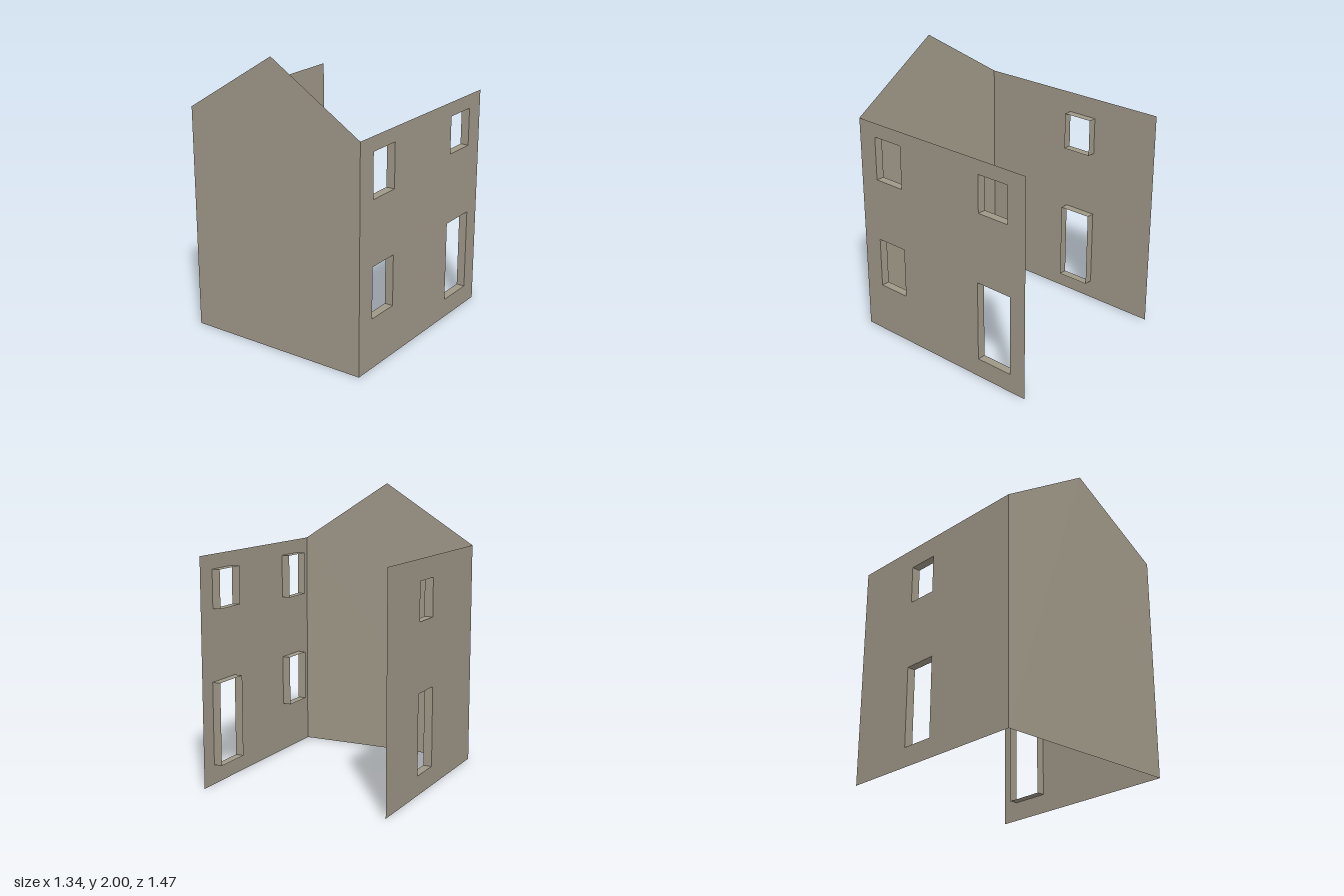
import * as THREE from 'three';

const HALF_W = 0.67, HALF_D = 0.735, EAVES = 1.575, RIDGE = 2, REVEAL = 0.06;

const plaster = new THREE.MeshStandardMaterial({ color: 0x9e9787, side: THREE.DoubleSide });
plaster.name = 'plaster';

// Openings of each side wall: [z min, z max, y min, y max]
const leftOpenings = [
  [0.35, 0.59, 1.165, 1.475],
  [-0.59, -0.345, 1.21, 1.475],
  [0.35, 0.59, 0.355, 0.715],
  [-0.61, -0.33, 0.135, 0.71],
];
const rightOpenings = [
  [-0.22, 0.0, 1.165, 1.43],
  [-0.23, 0.015, 0.135, 0.69],
];

function addMesh(parent, geometry, name) {
  const mesh = new THREE.Mesh(geometry, plaster);
  mesh.name = name;
  parent.add(mesh);
  return mesh;
}

function polygon(points) {
  return points.map(([x, y]) => new THREE.Vector2(x, y));
}

// Four thin lining faces running inward (-z) from an opening
function addReveal(parent, x0, x1, y0, y1) {
  const reveal = new THREE.Group();
  reveal.name = y0 < 0.2 ? 'doorReveal' : 'windowReveal';
  const cx = (x0 + x1) / 2, cy = (y0 + y1) / 2;
  for (const [y, dir, name] of [[y0, -1, 'sill'], [y1, 1, 'head']]) {
    const face = addMesh(reveal, new THREE.PlaneGeometry(x1 - x0, REVEAL).rotateX(dir * Math.PI / 2), name);
    face.position.set(cx, y, -REVEAL / 2);
  }
  for (const [x, dir] of [[x0, 1], [x1, -1]]) {
    const face = addMesh(reveal, new THREE.PlaneGeometry(REVEAL, y1 - y0).rotateY(dir * Math.PI / 2), 'jamb');
    face.position.set(x, cy, -REVEAL / 2);
  }
  parent.add(reveal);
}

// Side wall drawn facing +z, then turned to face side * x
function sideWall(side, openings, name) {
  const wall = new THREE.Group();
  wall.name = name;
  const shape = new THREE.Shape(polygon([[-HALF_D, 0], [HALF_D, 0], [HALF_D, EAVES], [-HALF_D, EAVES]]));
  for (const [z0, z1, y0, y1] of openings) {
    const x0 = Math.min(-side * z0, -side * z1);
    const x1 = Math.max(-side * z0, -side * z1);
    shape.holes.push(new THREE.Path(polygon([[x0, y0], [x0, y1], [x1, y1], [x1, y0]])));
    addReveal(wall, x0, x1, y0, y1);
  }
  addMesh(wall, new THREE.ShapeGeometry(shape), 'wallFace');
  wall.rotation.y = side * Math.PI / 2;
  wall.position.x = side * HALF_W;
  return wall;
}

export function createModel() {
  const house = new THREE.Group();
  house.name = 'houseShell';

  // Blank gable wall at the front; back and roof stay open
  const gable = new THREE.Shape(polygon([
    [-HALF_W, 0], [HALF_W, 0], [HALF_W, EAVES], [0, RIDGE], [-HALF_W, EAVES],
  ]));
  addMesh(house, new THREE.ShapeGeometry(gable), 'gableWall').position.z = HALF_D;

  house.add(sideWall(1, leftOpenings, 'leftWall'));
  house.add(sideWall(-1, rightOpenings, 'rightWall'));
  return house;
}
